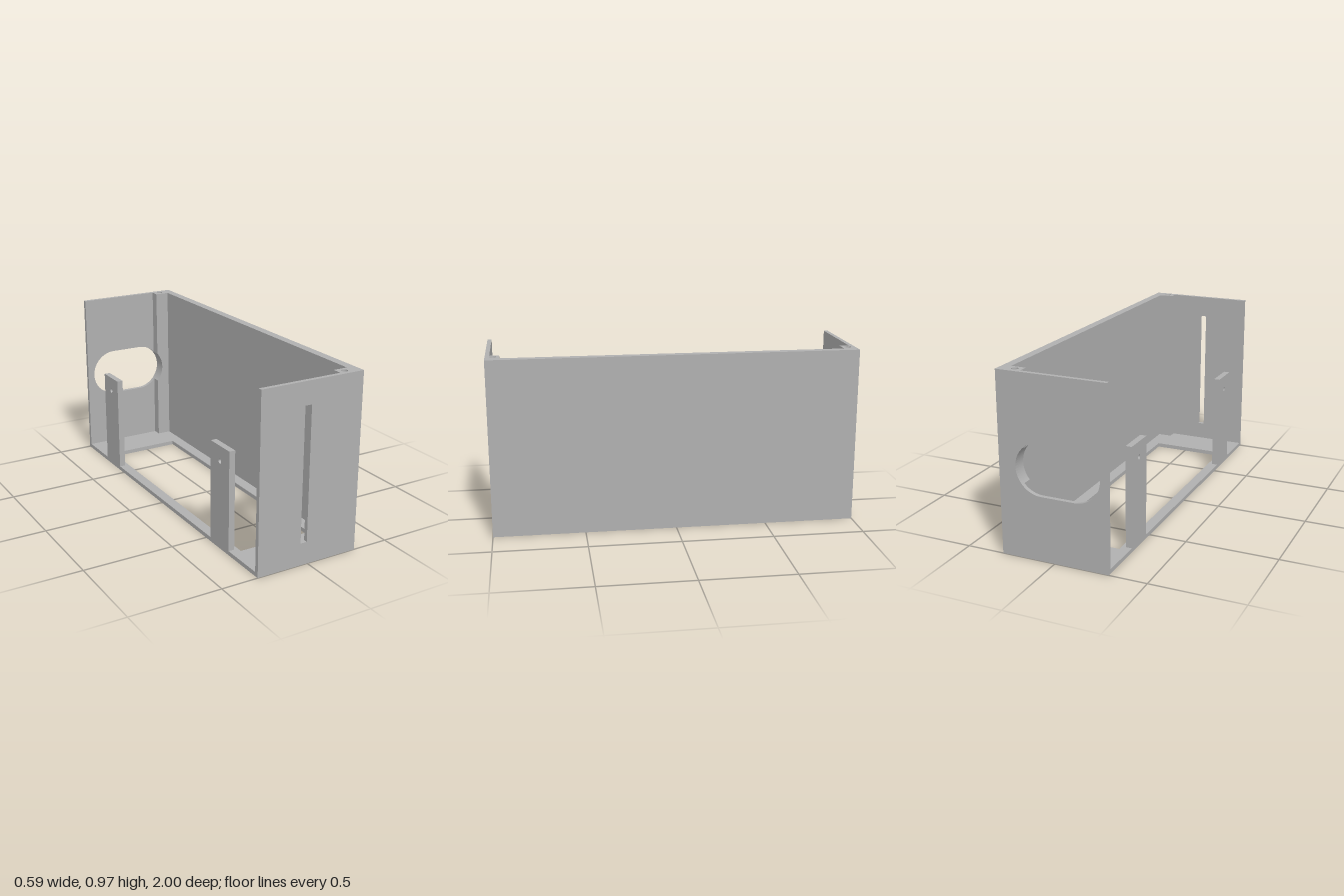
import * as THREE from 'three';

const W = 0.296, H = 0.97, T = 0.023;      // half width, height, plate thickness
const INNER = 0.25, ZI = 1 - T;            // inner faces of side wall and end walls
const POST_X = 0.17, POST_Z = 0.925;       // inner corner of the screw posts
const SCREW = { x: 0.21, z: 0.958, r: 0.018 };
const PORT = { x: -0.026, y: 0.486, half: 0.091, r: 0.139 };

function rect(x0, y0, x1, y1, Type = THREE.Shape) {
  const s = new Type();
  s.moveTo(x0, y0);
  s.lineTo(x1, y0);
  s.lineTo(x1, y1);
  s.lineTo(x0, y1);
  s.closePath();
  return s;
}

function circle(x, y, r) {
  return new THREE.Path().absarc(x, y, r, 0, Math.PI * 2, false);
}

const extrude = (shape, depth) =>
  new THREE.ExtrudeGeometry(shape, { depth, bevelEnabled: false, curveSegments: 16 });

// Plan shape (x, -z) raised from y0 to y1
const raise = (shape, y0, y1) => extrude(shape, y1 - y0).rotateX(-Math.PI / 2).translate(0, y0, 0);

export function createModel() {
  const grey = new THREE.MeshStandardMaterial({ color: 0xb0b0b0 });
  grey.name = 'grey';
  const model = new THREE.Group();
  model.name = 'housing';
  const add = (name, geometry, parent = model) => {
    const mesh = new THREE.Mesh(geometry, grey);
    mesh.name = name;
    parent.add(mesh);
  };

  // Base frame with large opening and screw holes
  const base = rect(-W, -ZI, INNER, ZI);
  base.holes.push(rect(-0.24, -0.757, 0.185, 0.76, THREE.Path));
  for (const s of [-1, 1]) base.holes.push(circle(SCREW.x, s * SCREW.z, SCREW.r));
  add('baseFrame', raise(base, 0, T));

  // Solid side wall
  add('sideWall', new THREE.BoxGeometry(W - INNER, H, 2 * ZI).translate((W + INNER) / 2, H / 2, 0));

  // Front wall with a narrow slot
  const front = rect(-W, 0, W, H);
  front.holes.push(rect(-0.045, 0.122, -0.007, 0.848, THREE.Path));
  add('frontWall', extrude(front, T).translate(0, 0, ZI));

  // Back wall with a rounded port
  const back = rect(-W, 0, W, H);
  const port = new THREE.Path();
  port.absarc(PORT.x + PORT.half, PORT.y, PORT.r, -Math.PI / 2, Math.PI / 2, false);
  port.absarc(PORT.x - PORT.half, PORT.y, PORT.r, Math.PI / 2, Math.PI * 1.5, false);
  port.closePath();
  back.holes.push(port);
  add('backWall', extrude(back, T).translate(0, 0, -1));

  // Corner posts with blind screw holes; the port cuts into the back one
  const low = 0.2, high = H - 0.2;
  for (const s of [-1, 1]) {
    const post = new THREE.Group();
    post.name = s > 0 ? 'frontPost' : 'backPost';
    model.add(post);
    const near = Math.min(-s * POST_Z, -s * ZI), far = Math.max(-s * POST_Z, -s * ZI);
    const plan = rect(POST_X, near, INNER, far);
    plan.holes.push(circle(SCREW.x, -s * SCREW.z, SCREW.r));
    add('postBottom', raise(plan, T, low), post);
    add('postTop', raise(plan, high, H), post);

    const middle = new THREE.Shape();
    middle.moveTo(POST_X, low);
    middle.lineTo(INNER, low);
    middle.lineTo(INNER, high);
    middle.lineTo(POST_X, high);
    if (s < 0) {
      const cx = PORT.x + PORT.half;
      const a = Math.acos((POST_X - cx) / PORT.r);
      middle.absarc(cx, PORT.y, PORT.r, a, -a, true);
    }
    middle.closePath();
    add('postMiddle', extrude(middle, ZI - POST_Z).translate(0, 0, s > 0 ? POST_Z : -ZI), post);
  }

  // Upright mounting tabs on the open side
  for (const s of [-1, 1]) {
    const tab = rect(-0.09, T, 0.09, 0.57);
    tab.holes.push(circle(0, 0.487, 0.013));
    add(s > 0 ? 'frontTab' : 'backTab',
      extrude(tab, 0.034).rotateY(Math.PI / 2).translate(-W, 0, s * 0.638));
  }
  return model;
}
